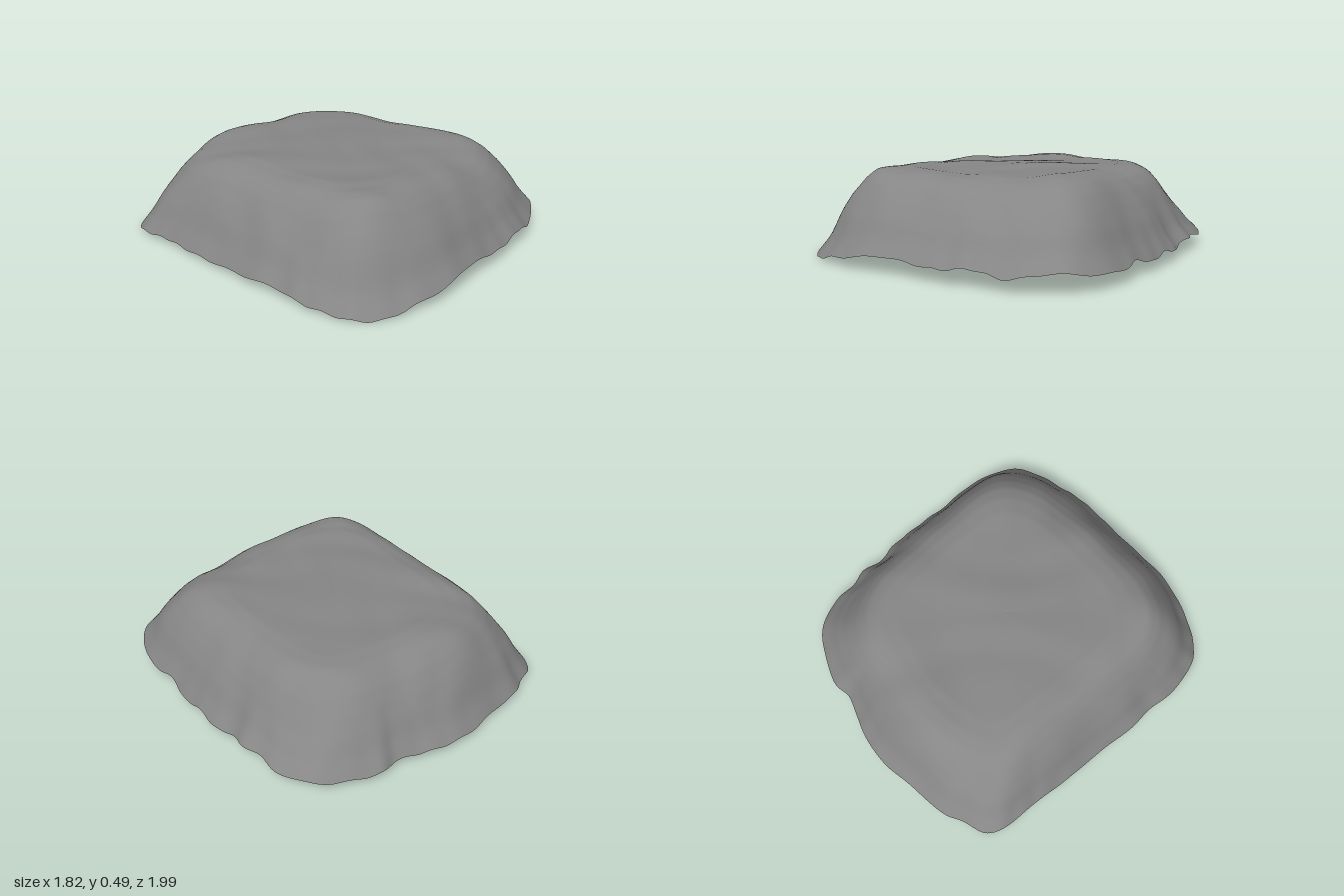
import * as THREE from 'three';

// Rim of the crust: x, y, z around the outline, from the left side towards the front
const RIM = [
  .9, .08, 0, .905, .06, .2, .885, .09, .33, .9, .08, .46, .875, .08, .65, .8, .1, .8,
  .67, .1, .89, .52, .07, .95, .34, .1, .975, .16, .08, .99, -.05, .09, .985, -.2, .1, .985,
  -.38, .075, .99, -.58, .045, .945, -.75, .01, .87, -.85, .015, .77, -.9, .03, .6, -.91, .04, .48,
  -.895, .05, .35, -.905, .055, .2, -.885, .04, 0, -.87, .04, -.3, -.85, .045, -.5, -.83, .03, -.75,
  -.78, .025, -.83, -.65, .04, -.88, -.56, .05, -.93, -.3, .06, -.97, -.12, .06, -1, .07, .06, -.985,
  .2, .06, -.945, .33, .06, -.905, .43, .06, -.92, .6, .06, -.86, .75, .07, -.77, .85, .07, -.58,
  .85, .08, -.45, .885, .09, -.35, .87, .07, -.24, .905, .06, -.1,
];

// Wall profile: share of the outline radius, share of the height
const PROFILE = [[1, 0], [.94, .2], [.89, .42], [.83, .62], [.77, .78], [.71, .89], [.64, .95], [.55, .98], [0, .98]];

// Local swellings and hollows: x, z, radius, change in height
const SWELLS = [
  [.74, -.6, .2, -.06], [.8, -.25, .15, -.025], [-.58, .68, .16, .045], [-.76, .38, .13, -.025],
  [-.5, -.55, .22, -.025], [-.2, -.83, .2, .04], [.5, .4, .2, .012], [.3, .7, .17, -.03],
];

const AROUND = 300, RINGS = 60;

function profileHeight(s) {
  const i = Math.max(1, PROFILE.findIndex(([radius]) => s >= radius));
  const [s0, h0] = PROFILE[i - 1], [s1, h1] = PROFILE[i];
  return h0 + (h1 - h0) * (s0 - s) / (s0 - s1);
}

// Soft, repeatable unevenness in the range of about -1 to 1
function bump(x, y, z) {
  return .4 * Math.sin(5.3 * x + 3.1 * z + 1.2 + 1.5 * Math.sin(3.7 * z))
    + .35 * Math.sin(8.7 * z - 4.9 * x + 3 * y + 1.3 * Math.sin(5.1 * x))
    + .35 * Math.sin(15 * x + 7 * y + 2 + Math.sin(6 * z)) * Math.sin(14 * z + .6 + Math.sin(7 * x));
}

function swell(x, z) {
  return SWELLS.reduce((sum, [cx, cz, radius, height]) =>
    sum + height * Math.exp(-((x - cx) ** 2 + (z - cz) ** 2) / radius ** 2), 0);
}

// Outline averaged over its neighbours, so the rim's ripples fade up the wall
function smoothOutline(rim) {
  const reach = 7;
  return rim.map((_, a) => {
    const mean = new THREE.Vector3();
    for (let k = -reach; k <= reach; k++) mean.add(rim[(a + k + AROUND) % AROUND]);
    return mean.divideScalar(2 * reach + 1);
  });
}

function crustGeometry() {
  const points = [];
  for (let i = 0; i < RIM.length; i += 3) points.push(new THREE.Vector3(RIM[i], RIM[i + 1], RIM[i + 2]));
  const rim = new THREE.CatmullRomCurve3(points, true).getSpacedPoints(AROUND).slice(0, AROUND);
  // small ragged waves along the edge
  rim.forEach((p, a) => {
    const t = a / AROUND * Math.PI * 2;
    p.y += .005 * Math.sin(34 * t + 2 * Math.sin(5 * t));
  });
  const smooth = smoothOutline(rim);

  const positions = [], index = [];
  const p = new THREE.Vector3();
  for (let r = 0; r < RINGS; r++) {
    const s = 1 - r / RINGS;
    // the rim stays on the outline, the bumps grow above it
    const rough = Math.min(1, (1 - s) * 8);
    const h = profileHeight(s);
    for (let a = 0; a < AROUND; a++) {
      p.lerpVectors(rim[a], smooth[a], Math.min(1, (1 - s) * 5));
      const x = p.x * s, z = p.z * s;
      const y = p.y + (.495 - p.y) * h;
      const n = bump(x, y, z) * rough;
      const wall = 1 + .01 * n * s;
      positions.push(x * wall, y + .011 * n + swell(x, z) * rough, z * wall);
    }
  }
  const centre = positions.length / 3;
  positions.push(0, .486 + .011 * bump(0, .486, 0) + swell(0, 0), 0);

  for (let r = 0; r < RINGS; r++) {
    for (let a = 0; a < AROUND; a++) {
      const o0 = r * AROUND + a, o1 = r * AROUND + (a + 1) % AROUND;
      if (r === RINGS - 1) index.push(o0, centre, o1);
      else index.push(o0, o0 + AROUND, o1, o1, o0 + AROUND, o1 + AROUND);
    }
  }

  const geometry = new THREE.BufferGeometry();
  geometry.setAttribute('position', new THREE.Float32BufferAttribute(positions, 3));
  geometry.setIndex(index);
  geometry.computeVertexNormals();
  return geometry;
}

export function createModel() {
  const group = new THREE.Group();
  group.name = 'rock';
  // Hollow shell, open underneath
  const crust = new THREE.Mesh(
    crustGeometry(),
    new THREE.MeshStandardMaterial({ color: 0x868686, side: THREE.DoubleSide }),
  );
  crust.name = 'rockCrust';
  group.add(crust);
  // Stand the lowest point of the rim on the ground
  crust.geometry.computeBoundingBox();
  crust.position.y = -crust.geometry.boundingBox.min.y;
  return group;
}
